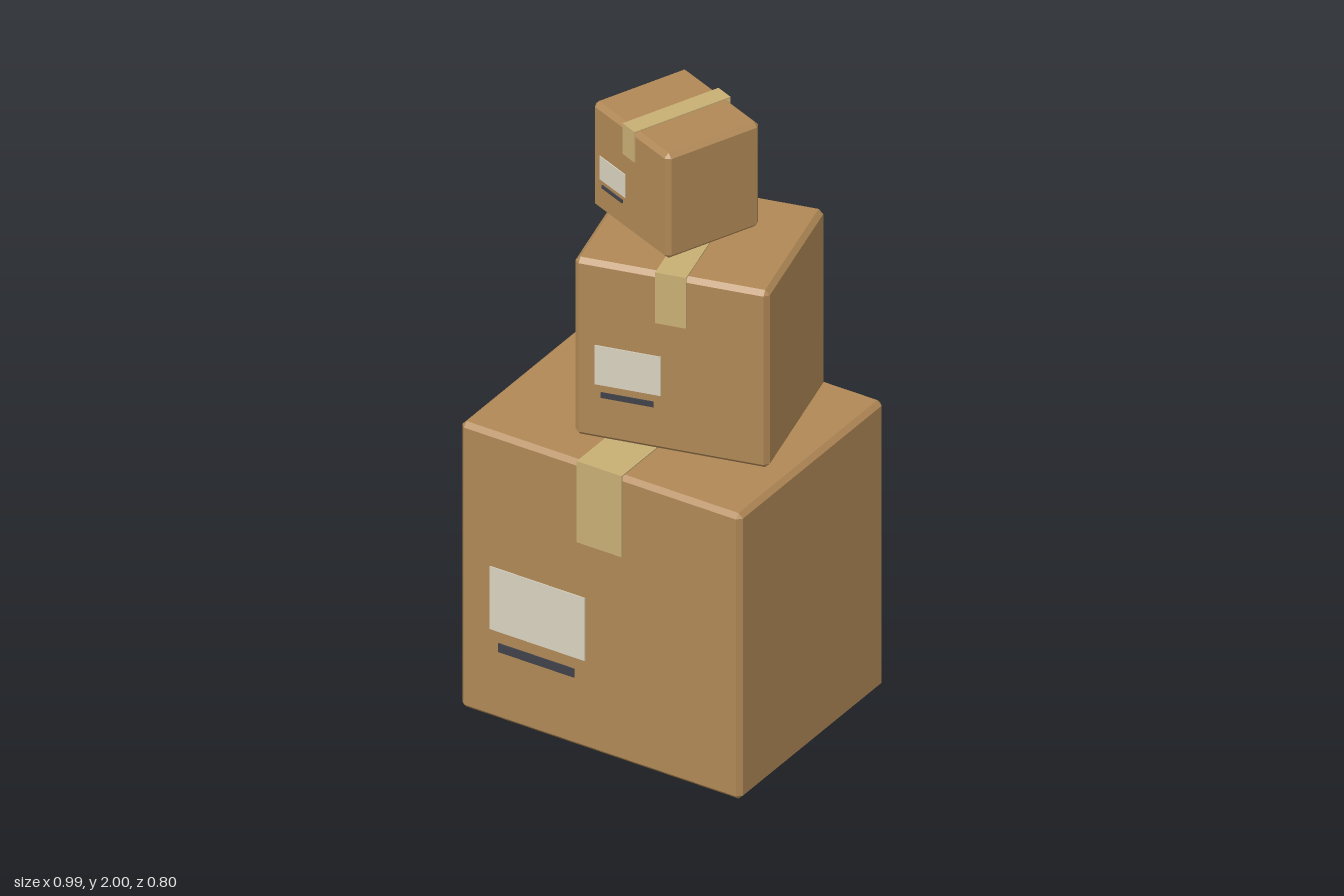
import * as THREE from 'three';
import { ConvexGeometry } from 'three/addons/geometries/ConvexGeometry.js';

const mat = (color) => new THREE.MeshStandardMaterial({ color });
const cardboard = mat(0xb08856);
const tapeMat = mat(0xc8ae74);
const paper = mat(0xd8d2be);
const ink = mat(0x40424a);

const CHAMFER = 0.015;
const TAPE = 0.004; // tape thickness

// Box with every edge chamfered: three face corners around each box corner
function chamferedBox(w, h, d, c) {
  const points = [];
  for (const sx of [-1, 1]) for (const sy of [-1, 1]) for (const sz of [-1, 1]) {
    const [x, y, z] = [w / 2, h / 2, d / 2];
    points.push(
      new THREE.Vector3(sx * x, sy * (y - c), sz * (z - c)),
      new THREE.Vector3(sx * (x - c), sy * y, sz * (z - c)),
      new THREE.Vector3(sx * (x - c), sy * (y - c), sz * z),
    );
  }
  return new ConvexGeometry(points);
}

function addSlab(parent, name, material, size, position) {
  const mesh = new THREE.Mesh(new THREE.BoxGeometry(...size), material);
  mesh.name = name;
  mesh.position.set(...position);
  parent.add(mesh);
}

// One parcel standing on its own y = 0, with tape, label and printed bar
function makeParcel(name, w, h, d) {
  const parcel = new THREE.Group();
  parcel.name = name;

  const body = new THREE.Mesh(chamferedBox(w, h, d, CHAMFER), cardboard);
  body.name = 'carton';
  body.position.y = h / 2;
  parcel.add(body);

  // Tape runs over the top and folds down front and back
  const tw = 0.16 * w, drop = 0.28 * h;
  addSlab(parcel, 'topTape', tapeMat, [tw, TAPE, d + 2 * TAPE], [0, h + TAPE / 2, 0]);
  for (const [side, s] of [['frontTape', 1], ['backTape', -1]]) {
    addSlab(parcel, side, tapeMat, [tw, drop, TAPE], [0, h - drop / 2, s * (d / 2 + TAPE / 2)]);
  }

  // Shipping label and dark bar on the front
  addSlab(parcel, 'label', paper, [0.34 * w, 0.22 * h, 0.003], [-0.222 * w, 0.422 * h, d / 2 + 0.0015]);
  addSlab(parcel, 'labelBar', ink, [0.27 * w, 0.03 * h, 0.004], [-0.225 * w, 0.257 * h, d / 2 + 0.002]);
  return parcel;
}

export function createModel() {
  const group = new THREE.Group();
  group.name = 'parcelStack';

  // name, width, height, depth, x, y, z, turn
  const parcels = [
    ['largeParcel', 0.99, 0.995, 0.79, 0, 0, 0, 0],
    ['mediumParcel', 0.61, 0.617, 0.515, 0.073, 1.003, -0.037, 0.24],
    ['smallParcel', 0.388, 0.366, 0.34, -0.026, 1.63, -0.065, -0.385],
  ];
  for (const [name, w, h, d, x, y, z, turn] of parcels) {
    const parcel = makeParcel(name, w, h, d);
    parcel.position.set(x, y, z);
    parcel.rotation.y = turn;
    group.add(parcel);
  }
  return group;
}
